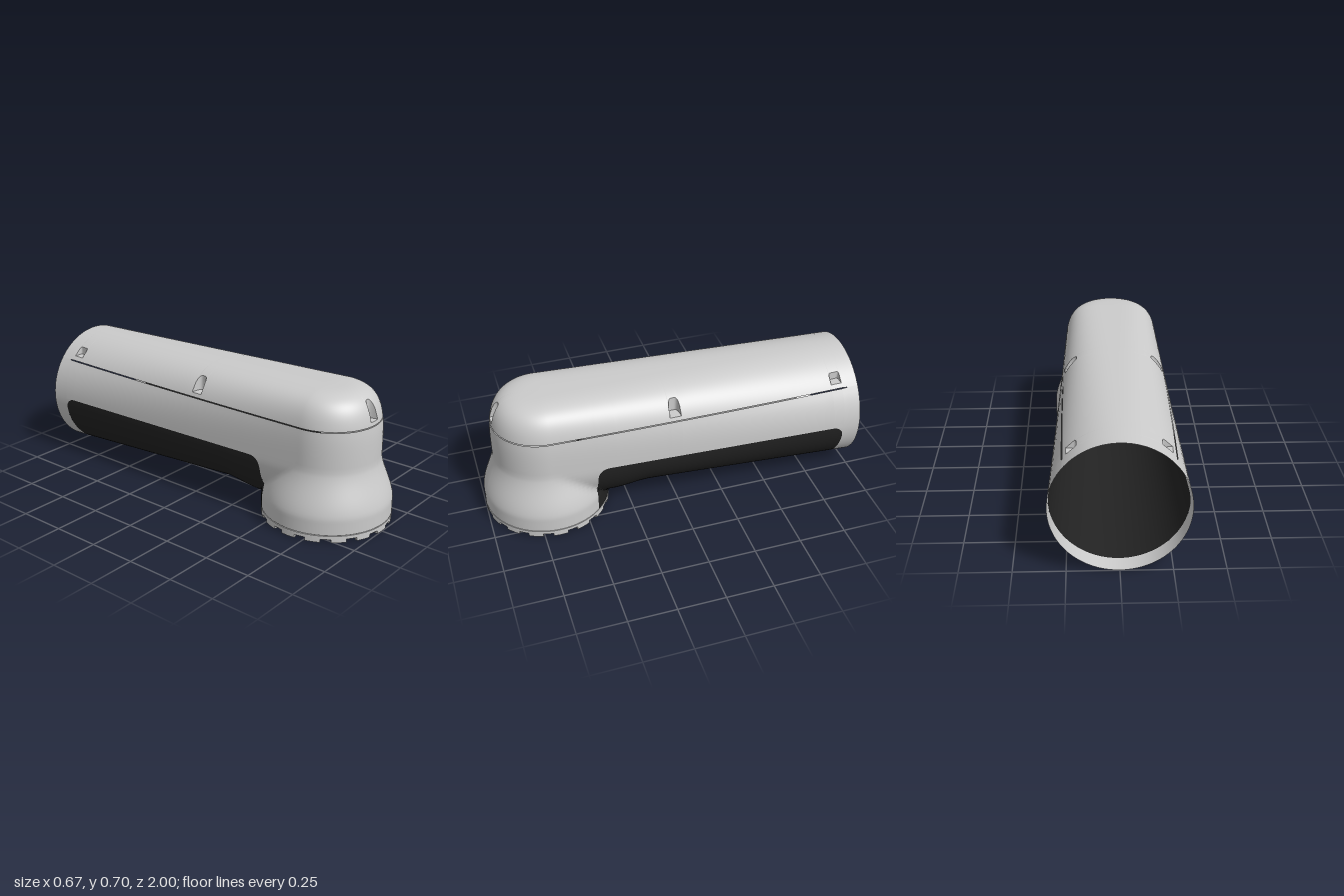
import * as THREE from 'three';
import { mergeGeometries, mergeVertices } from 'three/addons/utils/BufferGeometryUtils.js';

const { lerp, smoothstep, clamp } = THREE.MathUtils;
const MID = 0.335;                  // height of the widest line
const NOSE = 0.667;                 // z of the vertical axis of the round front
const SEAM = 0.545, FLOOR = 0.567;  // cover seam and screw pocket floor
const PANEL = [-0.91, 0.44], CORNER = 0.06;

// Rules for the tube along z: half width, top, underside, roundness
const along = z => clamp((z + 1) / (NOSE + 1), 0, 1);
const halfWidth = z => lerp(0.333, 0.2665, along(z));
const topY = z => lerp(0.668, 0.703, along(z));
const underY = z => z < 0.15
  ? lerp(0.002, 0.068, (z + 1) / 1.15)
  : lerp(0.068, 0.04, smoothstep(z, 0.15, 0.334));
const power = z => 1 / lerp(1 / 2, 1 / 4, along(z));

// Radius of the flared column at height y
const columnRadius = y => {
  const t = clamp((y - 0.12) / (MID - 0.12), 0, 1);
  return lerp(0.333, 0.2665, 0.5 * t + 0.5 * smoothstep(t, 0, 1));
};

// Half profile above the middle line, by height
function upper(z, y) {
  const n = power(z), v = clamp((y - MID) / (topY(z) - MID), 0, 1);
  return [halfWidth(z) * Math.pow(Math.max(0, 1 - v ** n), 1 / n), y];
}

// Half profile below the middle line, s from 0 (middle) to 1 (bottom)
function lower(z, s) {
  const a = s * Math.PI / 2;
  const y = MID - (MID - underY(z)) * Math.sin(a);
  const tube = s >= 1 ? 0 : halfWidth(z) * Math.cos(a);
  const column = Math.sqrt(Math.max(0, columnRadius(y) ** 2 - (z - NOSE) ** 2));
  return [Math.max(tube, column), y];
}

// Crown of the cover, s from 0 (height y0) to 1 (ridge)
function crown(z, y0, s) {
  const n = power(z), h = topY(z) - MID;
  const t0 = Math.asin(Math.min(1, ((y0 - MID) / h) ** (n / 2)));
  const t = lerp(t0, Math.PI / 2, s);
  return s >= 1 ? [0, topY(z)]
    : [halfWidth(z) * Math.cos(t) ** (2 / n), MID + h * Math.sin(t) ** (2 / n)];
}

// Rows run forward on the right, around the nose and back on the left.
// Each slot is a run of rows with an arched upper edge.
function makeRows() {
  const side = [];
  const run = (a, b, n, slot) => {
    for (let i = side.length ? 1 : 0; i <= n; i++) {
      const k = i / n, e = (1 - Math.cos(Math.PI * k)) / 2;
      side.push({ z: lerp(a, b, slot ? e : k), slotTop: slot ? arch(2 * e - 1, ...slot) : FLOOR });
    }
  };
  const arch = (q, top, p) => FLOOR + (top - FLOOR) * Math.max(0, 1 - Math.abs(q) ** p) ** (1 / p);
  run(-1, -0.91, 3);
  run(-0.91, -0.85, 14, [0.61, 8]);
  run(-0.85, -0.01, 14);
  run(-0.01, 0.05, 14, [0.645, 4]);
  run(0.05, 0.334, 10);
  run(0.334, 0.38, 8);
  run(0.38, 0.44, 10);
  run(0.44, NOSE, 10);
  const nose = [], w = 0.115, mid = Math.PI / 2;
  for (let i = 1; i <= 22; i++) nose.push({ phi: lerp(Math.PI, mid + w, i / 22), slotTop: FLOOR });
  for (let i = 1; i <= 14; i++) {
    const q = -Math.cos(Math.PI * i / 14);
    nose.push({ phi: mid - w * q, slotTop: arch(q, 0.665, 4) });
  }
  for (let i = 1; i < 22; i++) nose.push({ phi: lerp(mid - w, 0, i / 22), slotTop: FLOOR });
  return [
    ...side.map(r => ({ ...r, side: -1 })),
    ...nose.map(r => ({ ...r, z: NOSE })),
    ...side.reverse().map(r => ({ ...r, side: 1 })),
  ];
}

// Place a half profile point on a row
const place = (row, [x, y]) => row.phi === undefined
  ? [row.side * x, y, row.z]
  : [x * Math.cos(row.phi), y, NOSE + x * Math.sin(row.phi)];

// Surface over rows and columns; keep(a, b) picks the strips
function grid(rows, cols, profile, keep = () => true) {
  const pos = [], idx = [], w = cols + 1;
  rows.forEach(r => {
    for (let j = 0; j <= cols; j++) pos.push(...place(r, profile(r, j / cols)));
  });
  for (let i = 0; i + 1 < rows.length; i++) {
    if (!keep(rows[i], rows[i + 1])) continue;
    for (let j = 0; j < cols; j++) {
      const a = i * w + j, b = a + w;
      idx.push(a, a + 1, b, b, a + 1, b + 1);
    }
  }
  const g = new THREE.BufferGeometry();
  g.setAttribute('position', new THREE.Float32BufferAttribute(pos, 3));
  g.setIndex(idx);
  return g;
}

export function createModel() {
  const group = new THREE.Group();
  const grey = new THREE.MeshStandardMaterial({ color: 0xcccccc, side: THREE.DoubleSide });
  const dark = new THREE.MeshStandardMaterial({ color: 0x222222, side: THREE.DoubleSide });
  const add = (name, parts, material = grey) => {
    const g = mergeVertices(mergeGeometries(parts), 1e-4);
    g.computeVertexNormals();
    const mesh = new THREE.Mesh(g, material);
    mesh.name = name;
    group.add(mesh);
  };

  const rows = makeRows();
  const inPanel = r => r.phi === undefined && r.z > PANEL[0] - 1e-6 && r.z < PANEL[1] + 1e-6;
  const panelStrip = (a, b) => inPanel(a) && inPanel(b);
  const slotStrip = (a, b) => a.slotTop > FLOOR + 1e-6 || b.slotTop > FLOOR + 1e-6;
  const gap = r => r.z < PANEL[0] - 1e-6 ? 0 : 0.002;

  // Rounded upper corners of the side panel
  const panelEdge = r => {
    const e = Math.min(CORNER, Math.max(0, Math.min(r.z - PANEL[0], PANEL[1] - r.z)));
    const drop = CORNER - Math.sqrt(CORNER ** 2 - (CORNER - e) ** 2);
    return Math.asin(drop / (MID - underY(r.z))) * 2 / Math.PI;
  };

  // Lower shell: side walls, flared column and rear collar
  add('lowerShell', [
    grid(rows, 8, (r, k) => upper(r.z, lerp(SEAM - gap(r), MID, k))),
    grid(rows, 24, (r, k) => lower(r.z, k), (a, b) => !panelStrip(a, b)),
    grid(rows, 4, (r, k) => lower(r.z, k * panelEdge(r)), panelStrip),
  ]);

  // Dark wrap-around panel
  add('gripPanel', [
    grid(rows, 24, (r, k) => lower(r.z, lerp(panelEdge(r), 1, k)), panelStrip),
  ], dark);

  // Top cover, open at the screw pockets
  add('topCover', [
    grid(rows, 20, (r, k) => crown(r.z, r.slotTop, 1 - k)),
    grid(rows, 2, (r, k) => upper(r.z, lerp(FLOOR, SEAM + gap(r), k))),
  ]);

  // Screw pockets: upright wall under the arch and flat floor
  const rim = r => upper(r.z, r.slotTop);
  add('pocketWalls', [
    grid(rows, 1, (r, k) => [rim(r)[0], lerp(r.slotTop, FLOOR, k)], slotStrip),
  ]);
  add('pocketFloors', [
    grid(rows, 1, (r, k) => [lerp(rim(r)[0], upper(r.z, FLOOR)[0], k), FLOOR], slotStrip),
  ]);

  // Coupling ring with teeth under the column
  const arc = (r0, r1, a0, a1) => {
    const s = new THREE.Shape();
    s.absarc(0, 0, r1, a0, a1, false);
    s.absarc(0, 0, r0, a1, a0, true);
    return s;
  };
  const coupling = new THREE.Group();
  coupling.name = 'couplingRing';
  coupling.position.z = NOSE;
  const ringPart = (name, shape, y, depth, curveSegments) => {
    const g = new THREE.ExtrudeGeometry(shape, { depth, bevelEnabled: false, curveSegments });
    g.rotateX(-Math.PI / 2);
    const mesh = new THREE.Mesh(g, grey);
    mesh.name = name;
    mesh.position.y = y;
    coupling.add(mesh);
  };
  const band = new THREE.Shape().absarc(0, 0, 0.333, 0, Math.PI * 2, false);
  band.holes.push(new THREE.Path().absarc(0, 0, 0.315, 0, Math.PI * 2, true));
  ringPart('ringBand', band, 0.018, 0.018, 48);
  for (let i = 0; i < 16; i++) {
    const a = i * Math.PI / 8;
    ringPart('ringTooth', arc(0.313, 0.332, a - 0.115, a + 0.115), 0, 0.018, 6);
  }
  group.add(coupling);
  return group;
}
